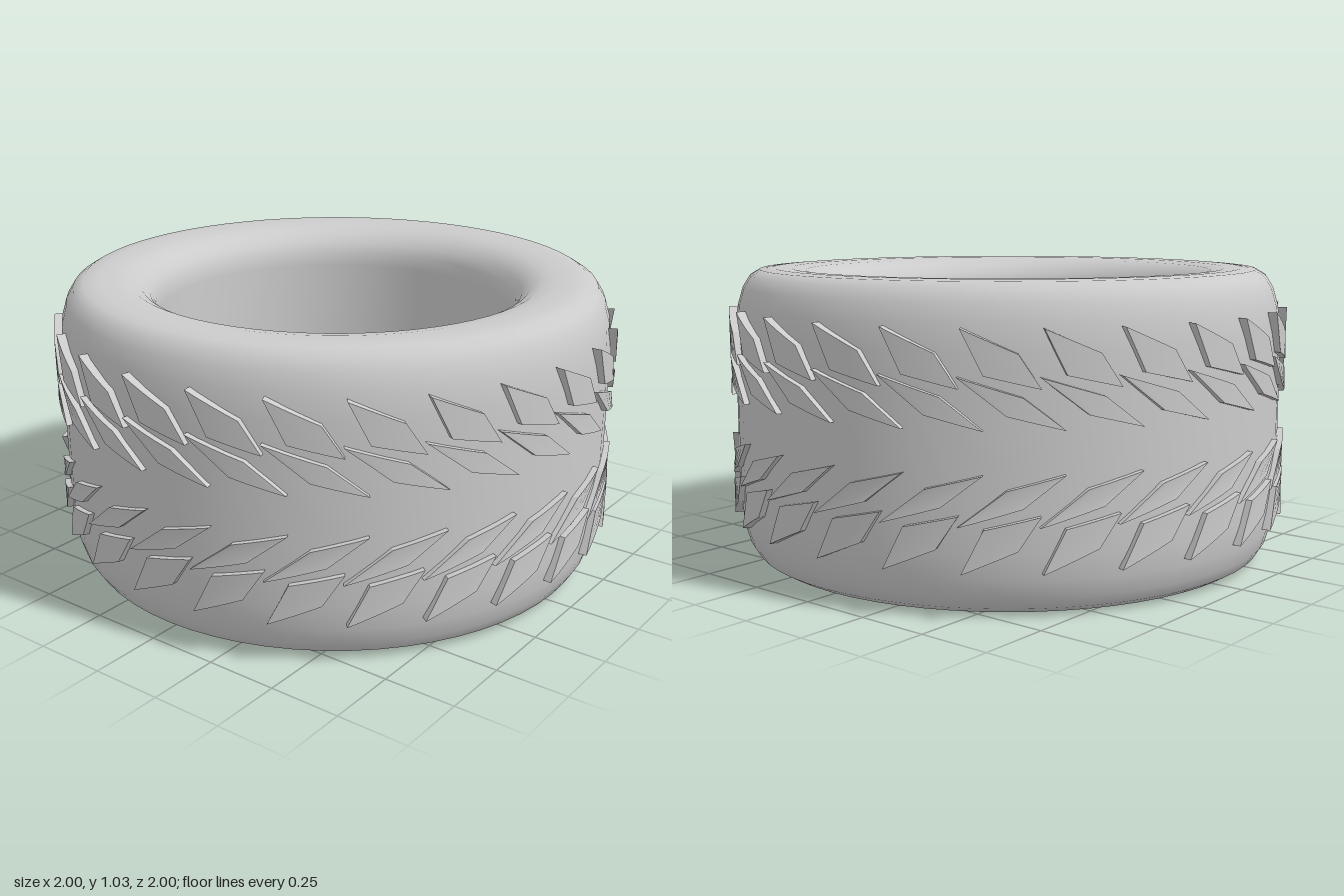
import * as THREE from 'three';
import { mergeGeometries } from 'three/addons/utils/BufferGeometryUtils.js';

const HEIGHT = 1.03;
const PITCHES = 25;

// Ring-shaped tyre body, symmetric about mid height
function tyreGeometry() {
  const mid = HEIGHT / 2;
  // upper half, from the tread centre over the shoulder to the inner wall
  const half = [
    [0.98, 0], [0.98, 0.2], [0.977, 0.31], [0.968, 0.39], [0.95, 0.45], [0.925, 0.49],
    [0.89, 0.511], [0.84, 0.515], [0.78, 0.513], [0.73, 0.505], [0.69, 0.485],
    [0.66, 0.455], [0.642, 0.42], [0.635, 0.37], [0.635, 0],
  ];
  const upper = half.map(([r, y]) => new THREE.Vector2(r, mid + y));
  const lower = half.slice(1, -1).reverse().map(([r, y]) => new THREE.Vector2(r, mid - y));
  const inner = upper[upper.length - 1].clone();
  return new THREE.LatheGeometry([inner, ...lower, ...upper], 64);
}

// One tread block: a box bent onto the tyre; corners run TL, TR, BR, BL as [arc, y]
function blockGeometry([tl, tr, br, bl], turn) {
  const geo = new THREE.BoxGeometry(1, 1, 1, 4, 1, 1);
  const pos = geo.attributes.position;
  const mix = THREE.MathUtils.lerp;
  for (let i = 0; i < pos.count; i++) {
    const u = pos.getX(i) + 0.5;
    const v = pos.getY(i) + 0.5;
    const r = pos.getZ(i) > 0 ? 1.0 : 0.95;
    const angle = turn + mix(mix(bl[0], br[0], u), mix(tl[0], tr[0], u), v);
    const y = mix(mix(bl[1], br[1], u), mix(tl[1], tr[1], u), v);
    pos.setXYZ(i, Math.sin(angle) * r, y, Math.cos(angle) * r);
  }
  geo.computeVertexNormals();
  return geo;
}

// A full row of paired blocks
function treadRow(blocks) {
  const parts = [];
  for (let i = 0; i < PITCHES; i++) {
    for (const b of blocks) parts.push(blockGeometry(b, (i / PITCHES) * Math.PI * 2));
  }
  return mergeGeometries(parts);
}

// Wheel disc with three hooked windows that open onto the rim
function discGeometry(thickness) {
  const rim = 0.645;
  const shape = new THREE.Shape();
  for (let k = 0; k < 3; k++) {
    const a = (k * Math.PI * 2) / 3;
    const at = (x, z) => new THREE.Vector2(x, z).rotateAround(new THREE.Vector2(), a);
    const start = at(0.641, 0.07);
    if (k === 0) shape.moveTo(start.x, start.y);
    else shape.lineTo(start.x, start.y);
    shape.splineThru([at(0.5, 0.07), at(0.35, 0.12), at(0.2, 0.225), at(0.1, 0.34), at(0.02, 0.46)]);
    const hook = at(0.245, 0.567);
    shape.lineTo(hook.x, hook.y);
    // spoke end along the rim
    shape.absarc(0, 0, rim, a + 1.17, a + 0.109 + (Math.PI * 2) / 3, false);
  }
  const geo = new THREE.ExtrudeGeometry(shape, { depth: thickness, bevelEnabled: false, curveSegments: 16 });
  return geo.rotateX(Math.PI / 2);
}

export function createModel() {
  const group = new THREE.Group();
  const material = new THREE.MeshStandardMaterial({ color: 0xcccccc });
  const add = (name, geometry, y = 0) => {
    const mesh = new THREE.Mesh(geometry, material);
    mesh.name = name;
    mesh.position.y = y;
    group.add(mesh);
    return mesh;
  };

  add('tyreBody', tyreGeometry());

  // Tread: upper row, then the same row mirrored about mid height
  const upper = [
    [[-0.08, 0.895], [0.095, 0.82], [0.165, 0.715], [-0.01, 0.755]],
    [[-0.09, 0.75], [0.11, 0.69], [0.24, 0.59], [0.06, 0.635]],
  ];
  const flip = ([x, y]) => [x, 1.045 - y];
  const lower = upper.map(([tl, tr, br, bl]) => [bl, br, tr, tl].map(flip));
  add('upperTread', treadRow(upper));
  add('lowerTread', treadRow(lower));

  // Wheel disc and hexagonal hub on its underside
  add('wheelDisc', discGeometry(0.08), 0.19);
  const hub = add('hexHub', new THREE.CylinderGeometry(0.225, 0.225, 0.06, 6).toNonIndexed(), 0.09);
  hub.geometry.computeVertexNormals();
  hub.rotation.y = Math.PI / 12;

  return group;
}
